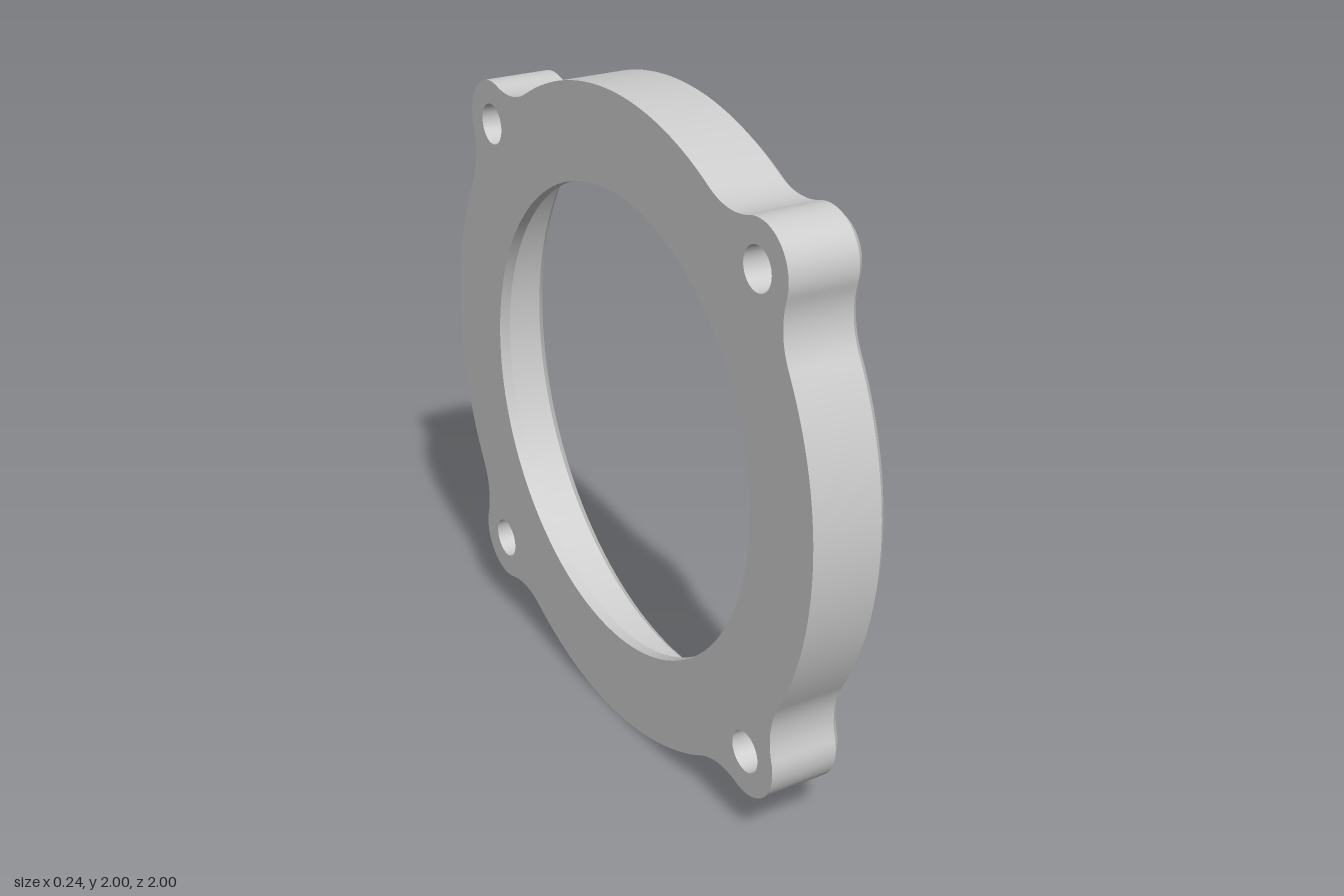
import * as THREE from 'three';

const BACK = -0.12, FRONT = 0.12, CHAMFER = 0.025, FLOOR = -0.085;
const BORE = 0.715, RECESS = 0.85;
const LOBE = 0.72, LOBE_R = 0.135, FILLET = 0.23;
const HOLE_R = 0.063, HOLE_END = 0.05;

const material = new THREE.MeshStandardMaterial({ color: 0xcccccc });

// points along an arc, without the last one
function arc(cx, cy, r, from, to, n) {
  return Array.from({ length: n }, (_, i) => {
    const a = from + (to - from) * i / n;
    return new THREE.Vector2(cx + r * Math.cos(a), cy + r * Math.sin(a));
  });
}
const circle = (r, n = 128, cx = 0, cy = 0) => arc(cx, cy, r, 0, Math.PI * 2, n);

// round flange with four filleted lobes, inset by a given amount
function outline(inset) {
  const d = LOBE * Math.SQRT2, a = 1 + FILLET, b = LOBE_R + FILLET;
  const phi = Math.acos((a * a + d * d - b * b) / (2 * a * d));
  const fx = a * Math.cos(phi), fy = a * Math.sin(phi);
  const psi = Math.atan2(-fy, fx - d);
  const PI = Math.PI, rf = FILLET + inset;
  const quarter = [
    ...arc(fx, -fy, rf, PI - phi, PI + psi, 12),
    ...arc(d, 0, LOBE_R - inset, psi, -psi, 24),
    ...arc(fx, fy, rf, PI - psi, PI + phi, 12),
    ...arc(0, 0, 1 - inset, phi, PI / 2 - phi, 28),
  ];
  const points = [];
  for (let k = 0; k < 4; k++) {
    for (const p of quarter) {
      points.push(p.clone().rotateAround(new THREE.Vector2(), PI / 4 + k * PI / 2));
    }
  }
  return points;
}

// closed band from loop a at depth za to loop b at depth zb
function band(name, a, za, b, zb) {
  const n = a.length, position = [], index = [];
  a.forEach(p => position.push(p.x, p.y, za));
  b.forEach(p => position.push(p.x, p.y, zb));
  for (let i = 0; i < n; i++) {
    const j = (i + 1) % n;
    index.push(i, j, n + j, i, n + j, n + i);
  }
  const g = new THREE.BufferGeometry();
  g.setAttribute('position', new THREE.Float32BufferAttribute(position, 3));
  g.setIndex(index);
  g.computeVertexNormals();
  return part(name, g);
}

function part(name, geometry) {
  const mesh = new THREE.Mesh(geometry, material);
  mesh.name = name;
  return mesh;
}

// flat face with holes
function face(name, loop, holes, z, flip) {
  const shape = new THREE.Shape(loop);
  shape.holes = holes.map(h => new THREE.Path(h));
  const g = new THREE.ShapeGeometry(shape);
  if (flip) g.rotateY(Math.PI);
  g.translate(0, 0, z);
  return part(name, g);
}

export function createModel() {
  const ring = new THREE.Group();
  ring.name = 'flangeRing';
  const outer = outline(0), inset = outline(CHAMFER);
  const mouth = circle(RECESS + CHAMFER), recess = circle(RECESS), bore = circle(BORE);
  const corners = [[1, 1], [-1, 1], [-1, -1], [1, -1]].map(([x, y]) => [x * LOBE, y * LOBE]);
  const holes = corners.map(([x, y]) => circle(HOLE_R, 32, x, y));
  const edge = FRONT - CHAMFER;

  // outside
  ring.add(band('outerWall', outer, BACK, outer, edge));
  ring.add(band('outerChamfer', outer, edge, inset, FRONT));
  ring.add(face('frontFace', inset, [mouth], FRONT, false));
  ring.add(face('backFace', outer, [bore, ...holes], BACK, true));

  // stepped opening
  ring.add(band('recessChamfer', mouth, FRONT, recess, edge));
  ring.add(band('recessWall', recess, edge, recess, FLOOR));
  ring.add(band('recessFloor', recess, FLOOR, bore, FLOOR));
  ring.add(band('boreWall', bore, FLOOR, bore, BACK));

  // blind screw holes in the back of the lobes
  holes.forEach((h, i) => {
    const screwHole = new THREE.Group();
    screwHole.name = 'screwHole';
    screwHole.add(band('holeWall', h, HOLE_END, h, BACK));
    const end = new THREE.CircleGeometry(HOLE_R, 32).rotateY(Math.PI);
    screwHole.add(part('holeEnd', end.translate(corners[i][0], corners[i][1], HOLE_END)));
    ring.add(screwHole);
  });

  // turn the axis to x and stand it on the ground
  ring.rotation.y = Math.PI / 2;
  ring.position.y = 1;
  const model = new THREE.Group();
  model.name = 'flange';
  model.add(ring);
  return model;
}
